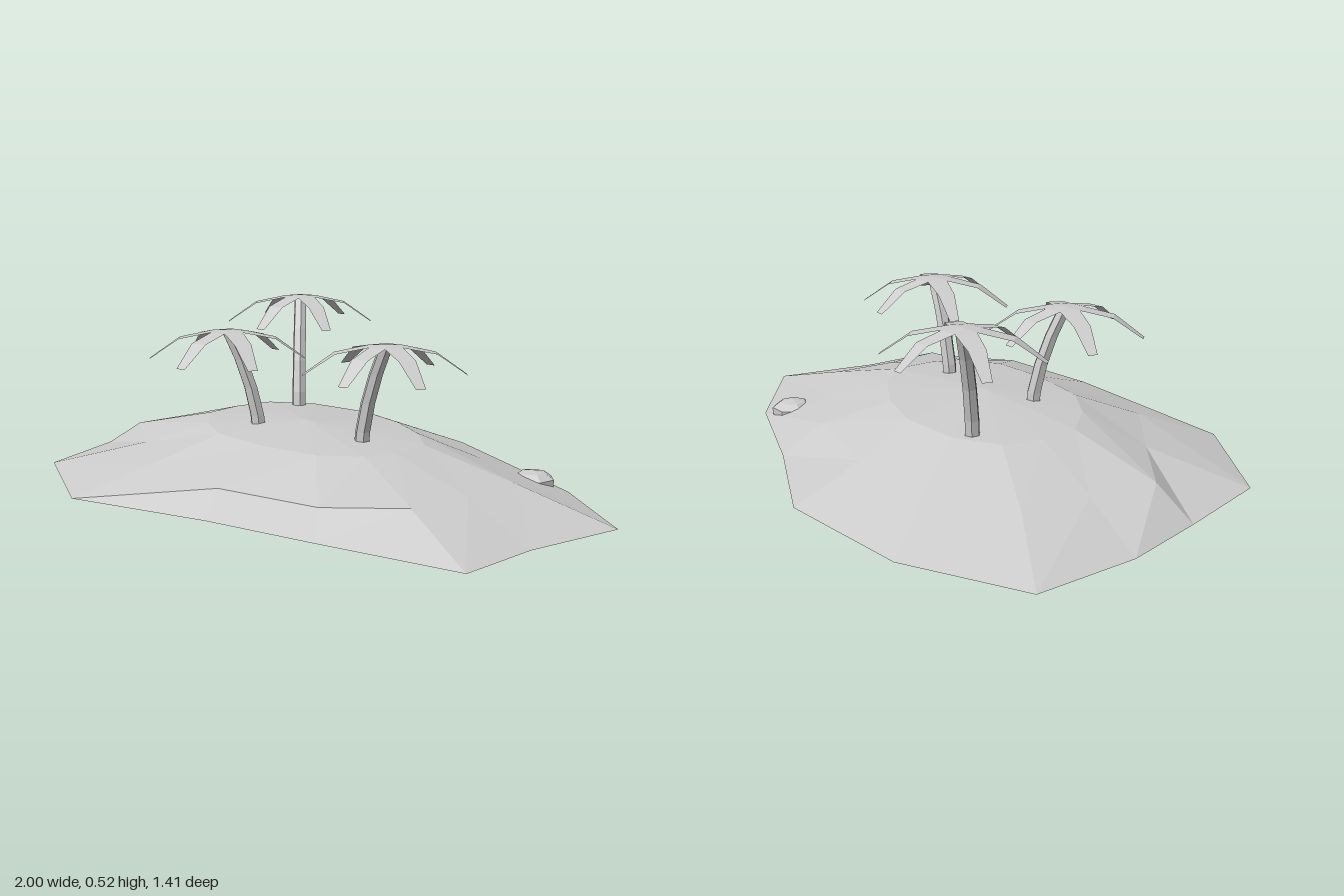
import * as THREE from 'three';

const stone = new THREE.MeshStandardMaterial({ color: 0xcccccc, flatShading: true, side: THREE.DoubleSide });
stone.name = 'paleGrey';

function mesh(name, geometry) {
  const m = new THREE.Mesh(geometry, stone);
  m.name = name;
  return m;
}

// Flat-shaded surface from a list of triangles, each made of three [x, y, z] corners
function surface(triangles) {
  const g = new THREE.BufferGeometry();
  g.setAttribute('position', new THREE.Float32BufferAttribute(triangles.flat(2), 3));
  g.computeVertexNormals();
  return g;
}

// Terrain contours as [x, z], running round the island from the left shore
const shore = [[-1, -0.36], [-0.67, -0.6], [-0.21, -0.71], [0.2, -0.6], [0.61, -0.52], [0.97, -0.33], [0.96, 0],
  [1, 0.27], [0.57, 0.41], [0.21, 0.52], [-0.23, 0.7], [-0.66, 0.53], [-0.81, 0.23], [-0.93, -0.03]];
const slope = [[-0.69, -0.24], [-0.46, -0.42], [-0.15, -0.48], [0.2, -0.47], [0.42, -0.36], [0.68, -0.23], [0.7, -0.02],
  [0.69, 0.18], [0.53, 0.37], [0.2, 0.47], [-0.16, 0.46], [-0.42, 0.32], [-0.68, 0.19], [-0.69, -0.03]];
const plateau = [[-0.4, -0.15], [-0.28, -0.25], [-0.08, -0.3], [0.1, -0.28], [0.27, -0.22], [0.4, -0.13], [0.42, 0],
  [0.4, 0.1], [0.3, 0.2], [0.12, 0.25], [-0.1, 0.26], [-0.25, 0.2], [-0.38, 0.1], [-0.41, -0.02]];

function island() {
  const rings = [[shore, 0.008], [slope, 0.092], [plateau, 0.167]]
    .map(([ring, y]) => ring.map(([x, z]) => [x, y, z]));
  const summit = [0, 0.193, 0];
  const tris = [];
  const n = shore.length;
  for (let i = 0; i < n; i++) {
    const j = (i + 1) % n;
    for (let k = 0; k < 2; k++) {
      const [low, high] = [rings[k], rings[k + 1]];
      tris.push([low[j], low[i], high[i]], [low[j], high[i], high[j]]);
    }
    tris.push([summit, rings[2][j], rings[2][i]]);
  }
  return mesh('island', surface(tris));
}

// Six drooping fronds joined to a small hub
function crown() {
  const angles = [-101, -53, 17, 71, 127, 189].map(THREE.MathUtils.degToRad);
  const reach = [0.215, 0.235, 0.24, 0.235, 0.24, 0.235];
  const n = angles.length;
  const polar = (a, r, y, side = 0) =>
    [Math.cos(a) * r - Math.sin(a) * side, y, Math.sin(a) * r + Math.cos(a) * side];
  const valleys = angles.map((a, i) => {
    const next = i < n - 1 ? angles[i + 1] : angles[0] + 2 * Math.PI;
    return polar((a + next) / 2, 0.058, -0.005);
  });
  const tris = [];
  angles.forEach((a, i) => {
    const before = valleys[(i + n - 1) % n], after = valleys[i];
    const rows = [[before, after]];
    for (const [r, y, w] of [[0.62, -0.025, 0.026], [1, -0.088, 0.015]]) {
      rows.push([polar(a, reach[i] * r, y, -w), polar(a, reach[i] * r, y, w)]);
    }
    tris.push([[0, 0, 0], after, before]);
    for (let k = 0; k < 2; k++) {
      const [[p, q], [s, t]] = [rows[k], rows[k + 1]];
      tris.push([p, q, t], [p, t, s]);
    }
  });
  return mesh('fronds', surface(tris));
}

// Trunk leaning from its foot to the crown along a rising curve
function palm(name, foot, top, height) {
  const g = new THREE.Group();
  g.name = name;
  const base = 0.115, len = height - base - 0.004;
  const geo = new THREE.CylinderGeometry(0.021, 0.024, len, 6, 4);
  geo.translate(0, len / 2, 0);
  const p = geo.attributes.position;
  for (let i = 0; i < p.count; i++) {
    const bend = Math.pow(p.getY(i) / len, 1.8);
    p.setX(i, p.getX(i) + (top[0] - foot[0]) * bend);
    p.setZ(i, p.getZ(i) + (top[1] - foot[1]) * bend);
  }
  geo.computeVertexNormals();
  const trunk = mesh('trunk', geo);
  trunk.position.set(foot[0], base, foot[1]);
  const leaves = crown();
  leaves.position.set(top[0], height, top[1]);
  g.add(trunk, leaves);
  return g;
}

export function createModel() {
  const model = new THREE.Group();
  model.name = 'palmIsland';
  model.add(island());
  model.add(palm('tallPalm', [-0.285, -0.185], [-0.38, -0.265], 0.522));
  model.add(palm('frontPalm', [-0.11, 0.1], [-0.15, 0.19], 0.474));
  model.add(palm('sidePalm', [0.26, 0], [0.36, -0.01], 0.474));

  // Boulder buried under the back slope
  const boulder = mesh('boulder', new THREE.SphereGeometry(0.07, 7, 5));
  boulder.scale.y = 0.5;
  boulder.position.set(0.53, 0.035, -0.45);
  model.add(boulder);
  return model;
}
